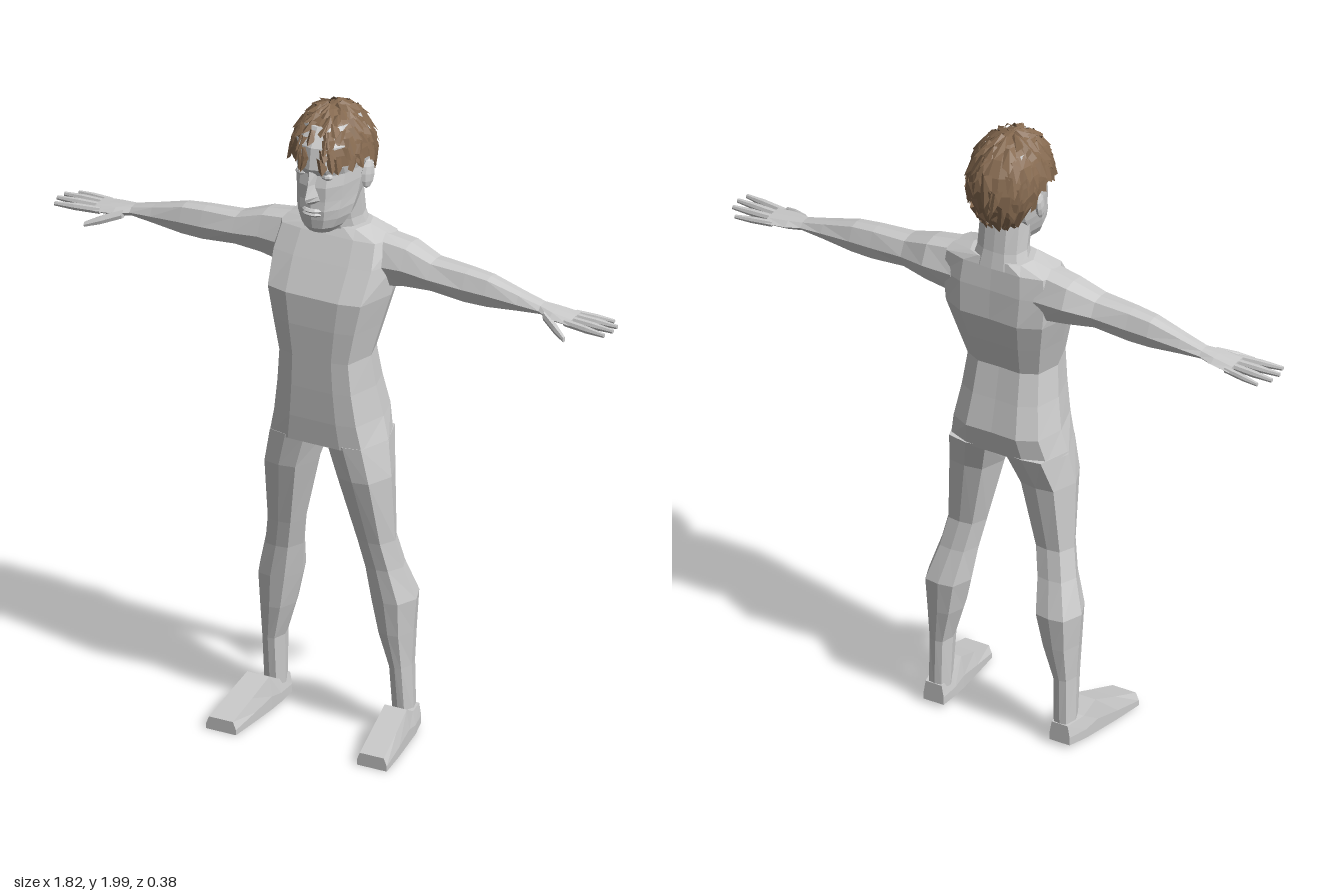
import * as THREE from 'three';

const skin = new THREE.MeshStandardMaterial({ color: 0xcccccc });
skin.name = 'pale grey skin';
const hairBrown = new THREE.MeshStandardMaterial({ color: 0x866a50, side: THREE.DoubleSide });
hairBrown.name = 'brown hair';

// Faceted geometry from a list of triangle corners
function facets(tris) {
  const g = new THREE.BufferGeometry();
  g.setAttribute('position', new THREE.Float32BufferAttribute(tris.flat(), 3));
  g.computeVertexNormals();
  return g;
}

// Closed, faceted solid through rings of points, turned outwards by its signed volume
function loft(rings) {
  const tris = [], n = rings[0].length;
  for (let r = 0; r < rings.length - 1; r++) {
    for (let i = 0; i < n; i++) {
      const j = (i + 1) % n, a = rings[r], b = rings[r + 1];
      tris.push(a[i], a[j], b[j], a[i], b[j], b[i]);
    }
  }
  const cap = (ring, flip) => {
    const c = [0, 1, 2].map(k => ring.reduce((s, p) => s + p[k], 0) / n);
    for (let i = 0; i < n; i++) {
      const p = ring[i], q = ring[(i + 1) % n];
      tris.push(c, flip ? q : p, flip ? p : q);
    }
  };
  cap(rings[0], true);
  cap(rings[rings.length - 1], false);
  let volume = 0;
  const [a, b, c] = [0, 1, 2].map(() => new THREE.Vector3());
  for (let i = 0; i < tris.length; i += 3) {
    a.fromArray(tris[i]); b.fromArray(tris[i + 1]); c.fromArray(tris[i + 2]);
    volume += a.dot(b.cross(c));
  }
  if (volume < 0) {
    for (let i = 0; i < tris.length; i += 3) [tris[i + 1], tris[i + 2]] = [tris[i + 2], tris[i + 1]];
  }
  return facets(tris);
}

// Half sections: [share of half width, share of depth from back to front]
const mirrorHalf = half => [...half, ...half.slice(1, -1).reverse().map(([u, v]) => [-u, v])];
const TORSO = mirrorHalf([[0, 1], [0.45, 1], [0.8, 0.94], [1, 0.5], [0.85, 0.14], [0.5, 0.02], [0, 0.03]]);
const HEAD = mirrorHalf([[0, 1], [0.45, 0.95], [0.8, 0.76], [1, 0.45], [0.85, 0.15], [0.45, 0.02], [0, 0]]);
const LIMB = mirrorHalf([[0, 1], [0.6, 0.95], [1, 0.5], [0.65, 0.05], [0, 0]]);
const BLOCK = [[0.8, 1], [1, 0.4], [1, 0], [-1, 0], [-1, 0.4], [-0.8, 1]];

const mix = (a, b, t) => a + (b - a) * t;
// Horizontal ring: height, x range, back and front z
const level = (sec, y, x0, x1, zb, zf) =>
  sec.map(([u, v]) => [mix(x0, x1, (u + 1) / 2), y, mix(zb, zf, v)]);
// Upright ring across the arm: x, y range, back and front z
const slice = (sec, x, y0, y1, zb, zf) =>
  sec.map(([u, v]) => [x, mix(y0, y1, v), mix(zb, zf, (u + 1) / 2)]);

export function createModel() {
  const model = new THREE.Group();
  const add = (name, geometry, material = skin, parent = model) => {
    const m = new THREE.Mesh(geometry, material);
    m.name = name;
    parent.add(m);
    return m;
  };
  const stack = (sec, rows) => loft(rows.map(([y, w, zb, zf]) => level(sec, y, -w, w, zb, zf)));

  // Torso and neck
  add('torso', stack(TORSO, [
    [0.94, 0.188, -0.125, 0.094], [1.02, 0.167, -0.145, 0.1], [1.12, 0.15, -0.12, 0.104],
    [1.22, 0.14, -0.098, 0.106], [1.32, 0.165, -0.13, 0.108], [1.415, 0.19, -0.158, 0.106],
    [1.51, 0.2, -0.15, 0.052], [1.58, 0.19, -0.138, 0.012], [1.605, 0.1, -0.13, -0.005]]));
  add('neck', stack(HEAD, [
    [1.58, 0.09, -0.138, 0], [1.63, 0.077, -0.125, 0.01], [1.74, 0.077, -0.108, 0.04]]));

  // Head with jaw, eye sockets and brow
  const head = new THREE.Group();
  head.name = 'head';
  model.add(head);
  add('skull', stack(HEAD, [
    [1.62, 0.045, 0.0, 0.085], [1.64, 0.064, -0.03, 0.102], [1.67, 0.08, -0.06, 0.108],
    [1.7, 0.087, -0.08, 0.112], [1.73, 0.091, -0.105, 0.11], [1.775, 0.096, -0.125, 0.112],
    [1.81, 0.097, -0.135, 0.103], [1.835, 0.1, -0.14, 0.121], [1.9, 0.1, -0.13, 0.11],
    [1.95, 0.075, -0.1, 0.07]]), skin, head);
  add('nose', stack([[0, 1], [1, 0.3], [1, 0], [-1, 0], [-1, 0.3]], [
    [1.722, 0.017, 0.09, 0.118], [1.735, 0.026, 0.09, 0.138], [1.748, 0.022, 0.09, 0.147],
    [1.785, 0.014, 0.09, 0.13], [1.825, 0.015, 0.09, 0.12]]), skin, head);
  for (const [name, y, z] of [['upperLip', 1.701, 0.122], ['lowerLip', 1.688, 0.119]]) {
    add(name, stack(HEAD, [[y - 0.006, 0.032, 0.07, z - 0.005], [y, 0.036, 0.07, z],
      [y + 0.006, 0.03, 0.07, z - 0.006]]), skin, head);
  }

  for (const [side, s] of [['left', 1], ['right', -1]]) {
    const flip = rings => loft(rings.map(r => r.map(([x, y, z]) => [s * x, y, z])));

    // Eye and ear
    const ball = new THREE.SphereGeometry(1, 8, 6).toNonIndexed();
    ball.computeVertexNormals();
    const eye = add(side + 'Eye', ball, skin, head);
    eye.scale.set(0.019, 0.011, 0.014);
    eye.position.set(s * 0.042, 1.809, 0.089);
    const ear = add(side + 'Ear', ball, skin, head);
    ear.scale.set(0.013, 0.045, 0.026);
    ear.position.set(s * 0.106, 1.78, -0.04);
    ear.rotation.set(-0.2, s * -0.3, 0);

    // Leg
    add(side + 'Leg', flip([
      [0.95, 0, 0.186, -0.127, 0.094], [0.84, 0.036, 0.204, -0.088, 0.085],
      [0.63, 0.086, 0.208, -0.07, 0.036], [0.54, 0.103, 0.225, -0.09, 0.02],
      [0.435, 0.115, 0.256, -0.127, 0.014], [0.33, 0.14, 0.247, -0.118, 0.005],
      [0.22, 0.175, 0.24, -0.104, -0.012], [0.06, 0.178, 0.242, -0.105, -0.03],
    ].map(r => level(LIMB, ...r))));

    // Foot, running from heel to toe
    const foot = [[-0.106, 0.178, 0.245, 0.012, 0.075], [-0.04, 0.178, 0.262, 0.008, 0.08],
      [0.012, 0.18, 0.27, 0.006, 0.11], [0.1, 0.188, 0.284, 0.003, 0.076], [0.198, 0.198, 0.296, 0, 0.04]];
    add(side + 'Foot', flip(foot.map(([z, x0, x1, y0, y1]) =>
      BLOCK.map(([u, v]) => [mix(x0, x1, (u + 1) / 2), mix(y0, y1, v), z]))));

    // Arm down to the palm
    add(side + 'Arm', flip([
      [0.14, 1.43, 1.592, -0.135, 0.01], [0.235, 1.447, 1.577, -0.135, 0.002],
      [0.32, 1.455, 1.548, -0.112, -0.002], [0.43, 1.442, 1.542, -0.104, -0.01],
      [0.5, 1.442, 1.534, -0.1, -0.015], [0.6, 1.452, 1.505, -0.092, -0.024],
      [0.67, 1.458, 1.486, -0.088, -0.03], [0.715, 1.452, 1.481, -0.1, -0.012],
      [0.78, 1.45, 1.473, -0.106, -0.008],
    ].map(r => slice(LIMB, ...r))));

    // Fingers and thumb: root, tip, thickness
    const digits = [
      ['littleFinger', [0.76, 1.461, -0.093], [0.877, 1.455, -0.108], 0.009],
      ['ringFinger', [0.76, 1.463, -0.07], [0.905, 1.459, -0.073], 0.01],
      ['middleFinger', [0.76, 1.463, -0.046], [0.91, 1.461, -0.038], 0.01],
      ['indexFinger', [0.76, 1.462, -0.022], [0.9, 1.46, -0.003], 0.01],
      ['thumb', [0.69, 1.464, -0.03], [0.785, 1.434, 0.028], 0.013]];
    for (const [name, a, b, r] of digits) {
      add(side + name[0].toUpperCase() + name.slice(1), flip([[0, 1], [0.55, 1], [1, 0.6]].map(([t, k]) =>
        LIMB.map(([u, v]) => [mix(a[0], b[0], t), mix(a[1], b[1], t) + (v * 2 - 1) * r * k,
          mix(a[2], b[2], t) + u * r * k]))));
    }
  }

  // Hair: a shell over the skull that reaches the nape, covered in ragged tufts
  let seed = 7;
  const rand = () => (seed = (seed * 16807) % 2147483647) / 2147483647;
  // Azimuth 0 is the front; the hairline drops behind the ears
  const hairline = az => {
    const back = THREE.MathUtils.smoothstep(-Math.cos(az), 0.1, 0.8);
    return mix(1.5, 2.55, back);
  };
  const scalp = (az, t, k) => {
    const th = t * hairline(az);
    return [0.116 * k * Math.sin(th) * Math.sin(az), 1.832 + 0.152 * k * Math.cos(th),
      -0.028 + 0.143 * k * Math.sin(th) * Math.cos(az)];
  };
  const shell = [], AZ = 20, ROWS = 7;
  for (let i = 0; i < AZ; i++) {
    for (let j = 0; j < ROWS; j++) {
      const p = (di, dj) => scalp((i + di) / AZ * Math.PI * 2, (j + dj) / ROWS, 1);
      shell.push(p(0, 0), p(0, 1), p(1, 1), p(0, 0), p(1, 1), p(1, 0));
    }
  }
  add('hairShell', facets(shell), hairBrown, head);

  const tufts = [];
  for (let row = 0; row < 8; row++) {
    const count = 7 + row * 2;
    for (let i = 0; i < count; i++) {
      const az = (i + rand()) / count * Math.PI * 2, t = 0.06 + row * 0.115;
      const half = 2.6 / count, len = 0.17 + rand() * 0.09, bend = (rand() - 0.5) * 0.25;
      const left = scalp(az - half, t, 1.0), right = scalp(az + half, t, 1.0);
      const crown = scalp(az, t + 0.02, 1.05 + rand() * 0.03);
      const a = scalp(az - half * 0.8 + bend, t + len * 0.75, 1.02);
      const b = scalp(az + half * 0.8 + bend, t + len * 0.6, 1.02);
      const tip = scalp(az + bend, Math.min(t + len, 1.08), 1.06 + rand() * 0.05);
      tufts.push(left, a, crown, a, tip, crown, tip, b, crown, b, right, crown);
    }
  }
  add('hairTufts', facets(tufts), hairBrown, head);

  return model;
}
